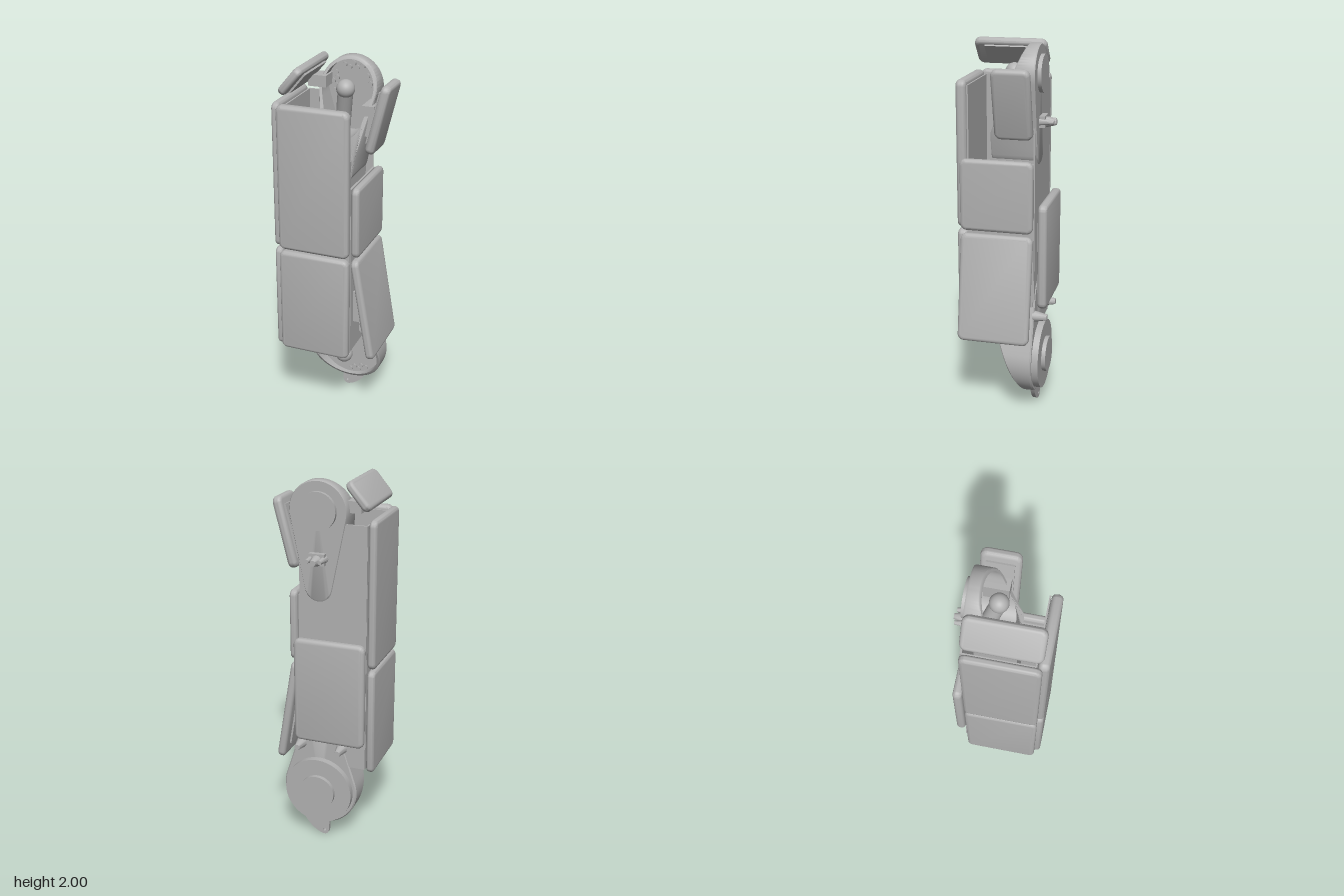
import * as THREE from 'three';
import { toCreasedNormals } from 'three/addons/utils/BufferGeometryUtils.js';

const grey = new THREE.MeshStandardMaterial({ color: 0xb2b2b2 });
grey.name = 'plain grey';

export function createModel() {
  const model = new THREE.Group();
  model.name = 'armouredLimb';

  const add = (name, geo, x = 0, y = 0, z = 0, parent = model) => {
    const mesh = new THREE.Mesh(geo, grey);
    mesh.name = name;
    mesh.position.set(x, y, z);
    parent.add(mesh);
    return mesh;
  };
  const box = (name, x0, x1, y0, y1, z0, z1) =>
    add(name, new THREE.BoxGeometry(x1 - x0, y1 - y0, z1 - z0), (x0 + x1) / 2, (y0 + y1) / 2, (z0 + z1) / 2);
  const disc = (name, r, x, y, z0, z1, sides = 48) =>
    add(name, new THREE.CylinderGeometry(r, r, z1 - z0, sides), x, y, (z0 + z1) / 2).rotateX(Math.PI / 2);
  const roundRect = (w, h, r) => {
    const s = new THREE.Shape();
    s.absarc(w / 2 - r, h / 2 - r, r, 0, Math.PI / 2);
    s.absarc(-w / 2 + r, h / 2 - r, r, Math.PI / 2, Math.PI);
    s.absarc(-w / 2 + r, -h / 2 + r, r, Math.PI, Math.PI * 1.5);
    s.absarc(w / 2 - r, -h / 2 + r, r, Math.PI * 1.5, Math.PI * 2);
    return s;
  };

  // Armour panels: rounded slabs with bevelled rims, facing local +z, with a mounting plate behind
  const panel = (name, w, h, t, [x, y, z], turn = 0, tilt = 0) => {
    const group = new THREE.Group();
    group.name = name;
    const bevel = 0.02, depth = 0.01;
    const geo = new THREE.ExtrudeGeometry(roundRect(w - 2 * bevel, h - 2 * bevel, 0.015), {
      depth, bevelThickness: (t - depth) / 2, bevelSize: bevel, bevelSegments: 4, curveSegments: 4,
    }).translate(0, 0, -depth / 2);
    add('armourSlab', toCreasedNormals(geo, 0.6), 0, 0, 0, group);
    add('mountingPlate', new THREE.BoxGeometry(w * 0.7, h * 0.75, 0.012), 0, 0, -t / 2 - 0.004, group);
    group.position.set(x, y, z);
    group.rotation.set(0, turn, tilt, 'ZYX');
    model.add(group);
  };
  const Q = Math.PI / 2;
  panel('upperFrontPanel', 0.39, 0.785, 0.055, [-0.05, 1.423, 0.227]);
  panel('lowerFrontPanel', 0.39, 0.59, 0.055, [-0.05, 0.725, 0.227]);
  panel('backPanel', 0.39, 0.58, 0.05, [-0.05, 0.89, -0.207], Math.PI);
  panel('upperRightSidePanel', 0.39, 0.785, 0.042, [-0.26, 1.423, 0.03], -Q);
  panel('lowerRightSidePanel', 0.39, 0.59, 0.042, [-0.26, 0.725, 0.03], -Q);
  panel('shoulderPanel', 0.39, 0.175, 0.045, [-0.18, 1.927, 0.03], -Q, -0.7);
  panel('middleLeftSidePanel', 0.39, 0.385, 0.042, [0.17, 1.225, 0.03], Q);
  panel('lowerLeftSidePanel', 0.39, 0.585, 0.045, [0.212, 0.725, 0.03], Q, 0.165);
  panel('upperLeftSidePanel', 0.2, 0.375, 0.05, [0.212, 1.715, -0.063], Q, -0.245);

  // Thin inner frame that carries the panels
  box('backPlate', -0.235, 0.13, 0.45, 1.79, -0.165, -0.155);
  box('rightFramePlate', -0.236, -0.228, 0.45, 1.79, -0.16, 0.19);
  box('leftFramePlate', 0.128, 0.138, 0.45, 1.4, -0.16, 0.19);
  box('frontFramePlate', -0.23, 0.132, 0.45, 1.79, 0.188, 0.196);
  box('spine', -0.04, 0.09, 0.6, 1.5, -0.16, 0.072);
  box('upperSideMount', 0.12, 0.185, 1.62, 1.78, -0.13, 0.0);
  box('lowerSideMount', 0.13, 0.2, 0.62, 0.8, -0.1, 0.15);
  box('shoulderMount', -0.19, -0.09, 1.84, 1.9, -0.13, -0.04);

  // Bracket tab inside the frame, with a rounded window
  const tab = roundRect(0.085, 0.11, 0.008);
  tab.holes.push(roundRect(0.042, 0.052, 0.014));
  add('bracketTab', new THREE.ExtrudeGeometry(tab, { depth: 0.012, bevelEnabled: false }), 0, 1.06, 0.13).rotateX(Q);

  // Outline round a large circle and a small one at distance d; s = -1 turns it upside down
  const teardrop = (cx, cy, r, d, r2, s) => {
    const a = Math.asin((r - r2) / d), pts = [];
    const arc = (oy, rad, from, to, n) => {
      for (let i = 0; i <= n; i++) {
        const t = from + (to - from) * i / n;
        pts.push([Math.cos(t) * rad, oy + Math.sin(t) * rad]);
      }
    };
    const line = ([x0, y0], [x1, y1]) => {
      for (let i = 1; i < 10; i++) pts.push([x0 + (x1 - x0) * i / 10, y0 + (y1 - y0) * i / 10]);
    };
    const at = (oy, rad, t) => [Math.cos(t) * rad, oy + Math.sin(t) * rad];
    arc(0, r, -a, Math.PI + a, 36);
    line(at(0, r, Math.PI + a), at(-d, r2, Math.PI + a));
    arc(-d, r2, Math.PI + a, 2 * Math.PI - a, 16);
    line(at(-d, r2, -a), at(0, r, -a));
    return pts.map(([x, y]) => [cx + s * x, cy + s * y]);
  };

  // Joint housing: a teardrop cup with a slanted mouth
  const housing = (name, cx, cy, s, outer, inner, edgeZ, back, floor) => {
    const out = teardrop(cx, cy, ...outer, s), inn = teardrop(cx, cy, ...inner, s);
    const tip = cy + s * outer[0];
    const mouth = y => Math.min(0.075, edgeZ + (tip - y) * s * 0.4);
    const rings = [
      out.map(() => [cx, cy, back]),
      out.map(([x, y]) => [cx + (x - cx) * 0.97, cy + (y - cy) * 0.97, back]),
      out.map(([x, y]) => [x, y, back + 0.008]),
      out.map(([x, y]) => [x, y, mouth(y) - 0.006]),
      out.map(([x, y]) => [cx + (x - cx) * 0.975, cy + (y - cy) * 0.975, mouth(y)]),
      inn.map(([x, y]) => [x, y, mouth(y)]),
      inn.map(([x, y]) => [x, y, floor]),
      inn.map(() => [cx, cy, floor]),
    ];
    const n = out.length, index = [];
    for (let k = 0; k < rings.length - 1; k++) {
      for (let i = 0; i < n; i++) {
        const a = k * n + i, b = k * n + (i + 1) % n;
        index.push(a, b, b + n, a, b + n, a + n);
      }
    }
    const geo = new THREE.BufferGeometry();
    geo.setAttribute('position', new THREE.Float32BufferAttribute(rings.flat(2), 3));
    geo.setIndex(index);
    add(name, toCreasedNormals(geo, 0.6));
  };
  housing('upperJointHousing', 0.025, 1.845, 1, [0.155, 0.4, 0.075], [0.138, 0.14, 0.1], -0.11, -0.17, -0.135);
  housing('lowerJointHousing', 0.02, 0.29, -1, [0.21, 0.36, 0.1], [0.192, 0.14, 0.14], -0.12, -0.17, -0.14);

  // Round caps on the back of the joints
  disc('upperJointCap', 0.098, 0.022, 1.848, -0.19, -0.165);
  disc('lowerJointCap', 0.19, 0.02, 0.29, -0.205, -0.165);
  disc('lowerJointHub', 0.098, 0.02, 0.29, -0.227, -0.2);

  // Ball-ended arms inside the cups
  const arm = (name, from, to) => {
    const a = new THREE.Vector3(...from), b = new THREE.Vector3(...to);
    add(name + 'Ball', new THREE.SphereGeometry(0.048, 32, 20), ...from);
    add(name + 'Rod', new THREE.TubeGeometry(new THREE.LineCurve3(a, b), 1, 0.04, 24));
    add(name + 'End', new THREE.SphereGeometry(0.04, 24, 16), ...to);
  };
  arm('upperArm', [0.022, 1.85, -0.03], [-0.015, 1.65, -0.09]);
  arm('lowerArm', [0.022, 0.29, -0.02], [0.022, 0.5, -0.06]);

  // Six-sided bolts in groups on the cup floors
  const bolts = (name, cx, cy, r, z, starts) => {
    for (const start of starts) {
      for (let i = 0; i < 5; i++) {
        const t = start + i * 0.024 / r, rr = r + (i % 2 ? -0.012 : 0.006);
        disc(name, 0.014, cx + Math.cos(t) * rr, cy + Math.sin(t) * rr, z, z + 0.01, 6);
      }
    }
  };
  bolts('upperBolt', 0.025, 1.845, 0.105, -0.136, [-0.1, 1.1, 2.6]);
  bolts('lowerBolt', 0.02, 0.29, 0.165, -0.141, [0.3, 3.1, 4.7, 2.0]);

  // Forked lug behind the upper joint
  box('forkBase', -0.02, 0.065, 1.575, 1.635, -0.2, -0.165);
  const prong = (name, x, y, z, r, length) => {
    const geo = new THREE.CylinderGeometry(r * 0.5, r, length, 12).rotateX(-Q);
    add(name, toCreasedNormals(geo, 0.6), x, y, z - length / 2);
  };
  prong('forkPin', 0.022, 1.6, -0.195, 0.03, 0.058);
  for (const side of [-1, 1]) {
    prong('forkProng', 0.022 + side * 0.034, 1.605, -0.165, 0.02, 0.08);
    prong('lowerLug', 0.012 + side * 0.115, 0.555, -0.16, 0.032, 0.077);
  }

  // Flat tail fin with an eyelet under the lower joint
  const fin = new THREE.Shape();
  fin.moveTo(-0.035, 0.12);
  fin.lineTo(-0.03, 0.03);
  fin.quadraticCurveTo(-0.025, 0, 0.005, 0.003);
  fin.quadraticCurveTo(0.08, 0.025, 0.125, 0.12);
  fin.closePath();
  const eyelet = new THREE.Path();
  eyelet.absarc(-0.006, 0.028, 0.008, 0, Math.PI * 2);
  fin.holes.push(eyelet);
  add('tailFin', new THREE.ExtrudeGeometry(fin, { depth: 0.022, bevelEnabled: false }), 0, 0, -0.168);

  return model;
}
